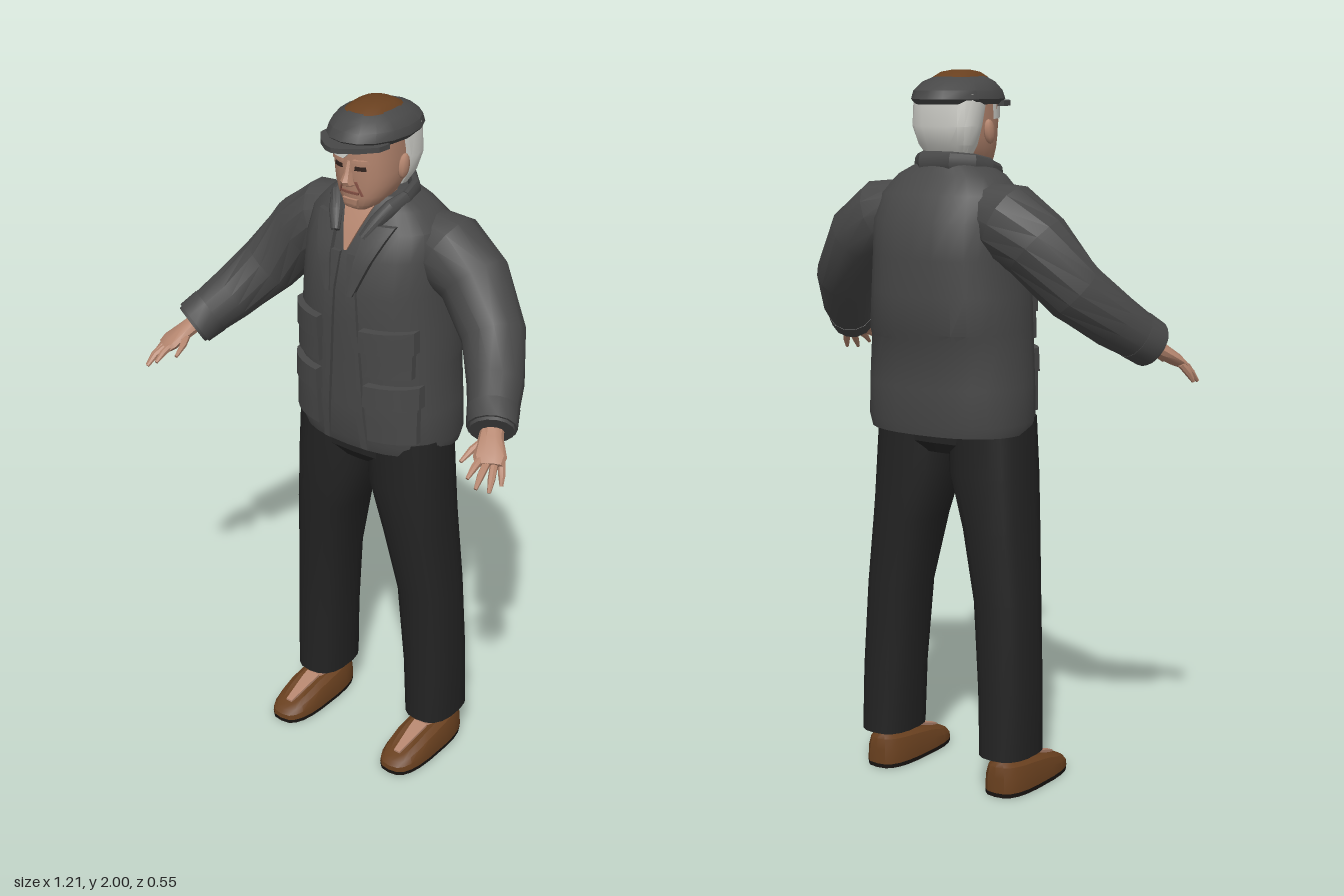
import * as THREE from 'three';
import { toCreasedNormals, mergeVertices } from 'three/addons/utils/BufferGeometryUtils.js';

const V = (x, y, z) => new THREE.Vector3(x, y, z);
const mat = (name, color) => {
  const m = new THREE.MeshStandardMaterial({ color });
  m.name = name;
  return m;
};

// Closed skin over rings of points; turned outward by its signed volume
function loft(rings, crease = 0.5) {
  const n = rings[0].length, pos = [], idx = [];
  rings.forEach(r => r.forEach(p => pos.push(p.x, p.y, p.z)));
  for (let i = 0; i < rings.length - 1; i++) for (let j = 0; j < n; j++) {
    const a = i * n + j, b = i * n + (j + 1) % n, c = b + n, d = a + n;
    idx.push(a, b, c, a, c, d);
  }
  [0, rings.length - 1].forEach(i => {
    const c = V(0, 0, 0);
    rings[i].forEach(p => c.addScaledVector(p, 1 / n));
    const k = pos.length / 3;
    pos.push(c.x, c.y, c.z);
    for (let j = 0; j < n; j++) {
      const a = i * n + j, b = i * n + (j + 1) % n;
      if (i === 0) idx.push(k, b, a); else idx.push(k, a, b);
    }
  });
  const at = i => V(pos[3 * i], pos[3 * i + 1], pos[3 * i + 2]);
  let volume = 0;
  for (let i = 0; i < idx.length; i += 3) volume += at(idx[i]).dot(at(idx[i + 1]).cross(at(idx[i + 2])));
  if (volume < 0) idx.reverse();
  const g = new THREE.BufferGeometry();
  g.setAttribute('position', new THREE.Float32BufferAttribute(pos, 3));
  g.setIndex(idx);
  return toCreasedNormals(g, crease);
}

// Horizontal superellipse ring
function ring(y, hw, zf, zb, cx = 0, n = 24, p = 2.4) {
  const pw = v => Math.sign(v) * Math.abs(v) ** (2 / p);
  return Array.from({ length: n }, (_, j) => {
    const t = j / n * Math.PI * 2;
    return V(cx + hw * pw(Math.sin(t)), y, (zf + zb) / 2 + (zf - zb) / 2 * pw(Math.cos(t)));
  });
}
const stack = (rows, n, p, s = 1) => loft(rows.map(([y, hw, zf, zb, cx = 0]) => ring(y, hw, zf, zb, cx * s, n, p)));

// Tapering limb through points [x, y, z, width radius, thickness radius]
function limb(pts, s = 1, n = 12) {
  const c = pts.map(p => V(p[0] * s, p[1], p[2]));
  return loft(pts.map((p, i) => {
    const dir = c[Math.min(i + 1, c.length - 1)].clone().sub(c[Math.max(i - 1, 0)]).normalize();
    const side = dir.clone().cross(V(0, 1, 0)).normalize(), up = side.clone().cross(dir);
    return Array.from({ length: n }, (_, j) => {
      const t = j / n * Math.PI * 2;
      return c[i].clone().addScaledVector(side, Math.cos(t) * p[3]).addScaledVector(up, Math.sin(t) * (p[4] ?? p[3]));
    });
  }));
}

// Depth of the front of a stack at (x, y)
function frontZ(rows, x, y, p = 2.4) {
  let i = 0;
  while (i < rows.length - 2 && rows[i + 1][0] < y) i++;
  const a = rows[i], b = rows[i + 1];
  const k = THREE.MathUtils.clamp((y - a[0]) / (b[0] - a[0]), 0, 1);
  const [hw, zf, zb] = [1, 2, 3].map(q => a[q] + (b[q] - a[q]) * k);
  return (zf + zb) / 2 + (zf - zb) / 2 * Math.max(0, 1 - Math.abs(x / hw) ** p) ** (1 / p);
}

// Plate that follows the front of a stack: bottom span, top span, heights, thickness
function plate(rows, bottom, top, y0, y1, thick, s = 1) {
  const g = new THREE.BoxGeometry(1, 1, 1, 6, 6, 1), a = g.attributes.position;
  const span = q => s > 0 ? q : [-q[1], -q[0]];
  const [b, t] = [span(bottom), span(top)];
  for (let i = 0; i < a.count; i++) {
    const u = a.getX(i) + 0.5, v = a.getY(i) + 0.5, y = y0 + (y1 - y0) * v;
    const lo = b[0] + (t[0] - b[0]) * v, hi = b[1] + (t[1] - b[1]) * v, x = lo + (hi - lo) * u;
    a.setXYZ(i, x, y, frontZ(rows, x, y) + (a.getZ(i) > 0 ? thick : -0.01));
  }
  g.deleteAttribute('uv');
  g.deleteAttribute('normal');
  return toCreasedNormals(mergeVertices(g), 0.5);
}

// Section rows: y, half width, front z, back z, centre x
const TORSO = [
  [1.02, 0.235, 0.075, -0.25], [1.05, 0.243, 0.085, -0.256], [1.15, 0.238, 0.092, -0.262],
  [1.28, 0.23, 0.095, -0.262], [1.3, 0.23, 0.096, -0.272], [1.4, 0.224, 0.1, -0.272],
  [1.5, 0.215, 0.102, -0.275], [1.6, 0.213, 0.085, -0.266], [1.67, 0.2, 0.052, -0.228],
  [1.72, 0.155, 0.022, -0.188], [1.75, 0.095, 0.0, -0.165]];
const HEAD = [
  [1.72, 0.035, 0.044, -0.05], [1.735, 0.055, 0.054, -0.075], [1.76, 0.072, 0.058, -0.1],
  [1.79, 0.083, 0.062, -0.125], [1.82, 0.088, 0.065, -0.142], [1.86, 0.09, 0.068, -0.15], [1.94, 0.092, 0.066, -0.15]];
const LEG = [
  [0.11, 0.075, 0.01, -0.19, 0.205], [0.3, 0.078, 0.012, -0.185, 0.2], [0.55, 0.083, 0.02, -0.178, 0.184],
  [0.75, 0.096, 0.045, -0.178, 0.155], [0.9, 0.118, 0.052, -0.175, 0.127], [1.06, 0.118, 0.05, -0.17, 0.118]];
const ARM = [
  [0.12, 1.625, -0.11, 0.085], [0.2, 1.6, -0.11, 0.108], [0.29, 1.54, -0.105, 0.1], [0.385, 1.42, -0.062, 0.088],
  [0.455, 1.335, 0.03, 0.076], [0.505, 1.275, 0.115, 0.064], [0.516, 1.262, 0.133, 0.06]];
const PALM = [[0.51, 1.268, 0.12, 0.03, 0.024], [0.527, 1.248, 0.153, 0.034, 0.022],
  [0.55, 1.222, 0.19, 0.044, 0.018], [0.56, 1.209, 0.207, 0.036, 0.013]];
const FINGERS = [
  [[0.515, 1.25, 0.15], [0.497, 1.228, 0.195], [0.49, 1.208, 0.235]],
  [[0.533, 1.222, 0.2], [0.535, 1.208, 0.24], [0.535, 1.19, 0.27]],
  [[0.55, 1.216, 0.2], [0.56, 1.196, 0.245], [0.565, 1.172, 0.275]],
  [[0.567, 1.21, 0.195], [0.582, 1.184, 0.228], [0.59, 1.158, 0.25]],
  [[0.578, 1.212, 0.178], [0.592, 1.186, 0.195], [0.6, 1.162, 0.208]]];

export function createModel() {
  const jacket = mat('charcoal jacket', 0x484848), cloth = mat('black trousers', 0x232323);
  const leather = mat('brown leather', 0x69401f), sole = mat('dark sole', 0x1a1512);
  const skin = mat('skin', 0xb5866f), hair = mat('white hair', 0xd6d6d0);
  const lip = mat('lip', 0x8a5548), eye = mat('dark eye', 0x33241f);
  const root = new THREE.Group();
  const add = (name, g, m) => {
    const mesh = new THREE.Mesh(g, m);
    mesh.name = name;
    root.add(mesh);
    return mesh;
  };

  // Jacket body, open neck, collar
  add('jacketBody', stack(TORSO, 28), jacket);
  add('openNeck', plate(TORSO, [-0.004, 0.004], [-0.05, 0.05], 1.615, 1.74, 0.006), skin);
  add('collarBack', limb([[-0.1, 1.735, -0.05, 0.016, 0.03], [-0.088, 1.748, -0.11, 0.016, 0.03],
    [-0.045, 1.754, -0.155, 0.016, 0.03], [0.045, 1.754, -0.155, 0.016, 0.03],
    [0.088, 1.748, -0.11, 0.016, 0.03], [0.1, 1.735, -0.05, 0.016, 0.03]]), jacket);

  // Trouser seat
  add('trouserSeat', stack([[0.955, 0.17, 0.03, -0.15], [0.985, 0.228, 0.05, -0.17], [1.06, 0.232, 0.05, -0.17]]), cloth);

  for (const s of [1, -1]) {
    const side = s > 0 ? 'left' : 'right';
    const put = (name, g, m) => add(side + name, g, m);

    // Jacket front: collar wing, lapel, opening edge, flapped pockets
    put('CollarWing', limb([[0.1, 1.735, -0.055, 0.016, 0.03], [0.088, 1.725, 0.0, 0.02, 0.026],
      [0.065, 1.695, 0.035, 0.02, 0.018], [0.045, 1.655, 0.066, 0.012, 0.012]], s), jacket);
    put('Lapel', plate(TORSO, [0.03, 0.045], [0.05, 0.125], 1.5, 1.69, 0.015, s), jacket);
    put('FrontEdge', plate(TORSO, [0.055, 0.075], [0.012, 0.045], 1.03, 1.61, 0.01, s), jacket);
    for (const [name, x0, x1, y0, y1] of [['Chest', 0.075, 0.195, 1.27, 1.41], ['Hip', 0.085, 0.208, 1.07, 1.245]]) {
      put(name + 'Pocket', plate(TORSO, [x0, x1], [x0, x1], y0, y1 - 0.02, 0.016, s), jacket);
      put(name + 'PocketFlap', plate(TORSO, [x0 - 0.006, x1 + 0.006], [x0 - 0.004, x1 + 0.004], y1 - 0.065, y1, 0.025, s), jacket);
    }

    // Sleeve, cuff and hand
    put('Sleeve', limb(ARM, s, 14), jacket);
    put('Cuff', limb([[0.487, 1.297, 0.085, 0.07], [0.512, 1.267, 0.127, 0.067]], s, 14), jacket);
    put('Palm', limb(PALM, s, 10), skin);
    FINGERS.forEach((f, i) => put(i ? 'Finger' + i : 'Thumb',
      limb(f.map((p, k) => [...p, [0.011, 0.01, 0.005][k]]), s, 7), skin));

    // Trouser leg, ankle and shoe
    put('TrouserLeg', stack(LEG, 18, 2.6, s), cloth);
    put('Ankle', stack([[0.05, 0.035, 0.0, -0.11, 0.205], [0.14, 0.038, -0.02, -0.12, 0.205]], 12, 2, s), skin);
    const topY = z => z > 0 ? 0.084 - z * 0.3 : 0.084 - z * 0.09;
    const shoeRing = (k, inset) => ring(0, 0.067 - inset, 0.152 - inset, -0.176 + inset * 0.4, 0.207 * s, 22, 2.9)
      .map(p => V(p.x, 0.012 + (topY(p.z) - 0.012) * k, p.z));
    put('Shoe', loft([shoeRing(0, 0), shoeRing(0.5, 0.002), shoeRing(0.85, 0.012), shoeRing(1, 0.03)]), leather);
    put('Sole', stack([[0, 0.066, 0.151, -0.175, 0.207], [0.012, 0.067, 0.152, -0.176, 0.207]], 22, 2.9, s), sole);
    const instep = new THREE.BoxGeometry(0.045, 0.008, 0.12, 1, 1, 4);
    const a = instep.attributes.position;
    for (let i = 0; i < a.count; i++) {
      const z = a.getZ(i) + 0.05;
      a.setXYZ(i, a.getX(i) * (1 - Math.max(0, z) * 5) + 0.207 * s, a.getY(i) + topY(z) + 0.001, z);
    }
    instep.computeVertexNormals();
    put('Instep', instep, skin);

    // Eye, brow, cheek and ear
    put('Eye', plate(HEAD, [0.02, 0.05], [0.022, 0.048], 1.838, 1.849, 0.003, s), eye);
    put('Brow', plate(HEAD, [0.015, 0.058], [0.018, 0.054], 1.858, 1.868, 0.008, s), skin);
    put('CheekFold', plate(HEAD, [0.034, 0.038], [0.018, 0.024], 1.765, 1.805, 0.004, s), lip);
    const ear = put('Ear', new THREE.SphereGeometry(1, 8, 8), skin);
    ear.scale.set(0.012, 0.034, 0.021);
    ear.position.set(0.097 * s, 1.835, -0.045);
    ear.rotation.x = -0.2;
  }

  // Neck, head, nose and mouth
  add('neck', stack([[1.62, 0.07, 0.03, -0.12], [1.7, 0.06, 0.025, -0.115], [1.8, 0.062, 0.02, -0.115]], 16, 2), skin);
  add('head', stack(HEAD, 22), skin);
  add('nose', loft([[1.79, 0.01, 0.07], [1.798, 0.02, 0.088], [1.808, 0.017, 0.094], [1.83, 0.01, 0.081], [1.862, 0.009, 0.07]]
    .map(([y, w, z]) => ring(y, w, z, 0.045, 0, 8, 2))), skin);
  add('mouth', plate(HEAD, [-0.026, 0.026], [-0.028, 0.028], 1.768, 1.775, 0.004), lip);
  add('chin', plate(HEAD, [-0.02, 0.02], [-0.024, 0.024], 1.728, 1.754, 0.008), skin);

  // Hair at back and sides, with a swept fringe
  add('hair', stack([[1.765, 0.066, -0.07, -0.122], [1.8, 0.086, -0.055, -0.15], [1.85, 0.1, -0.045, -0.167],
    [1.935, 0.1, -0.015, -0.165]], 20, 2.8), hair);
  add('fringe', plate(HEAD, [-0.088, -0.01], [-0.09, 0.04], 1.868, 1.915, 0.008), hair);

  // Flat cap: crown, top patch, pointed peak
  add('capCrown', stack([[1.908, 0.1, 0.085, -0.19], [1.922, 0.112, 0.1, -0.204], [1.945, 0.107, 0.088, -0.195],
    [1.968, 0.088, 0.064, -0.165], [1.982, 0.061, 0.04, -0.126]], 16, 2.1), jacket);
  add('capPatch', stack([[1.98, 0.062, 0.041, -0.127], [1.994, 0.045, 0.015, -0.1], [2, 0.02, -0.015, -0.065]], 16, 2.6), leather);
  const outline = [[-0.1, 0.02], [-0.096, 0.06], [-0.065, 0.1], [-0.025, 0.132], [0, 0.14], [0.025, 0.132], [0.065, 0.1], [0.096, 0.06], [0.1, 0.02]];
  const peak = lift => outline.map(([x, z]) => V(x, 1.908 + lift - Math.max(0, z - 0.06) * 0.05 - x * x * 0.6, z));
  add('capPeak', loft([peak(0), peak(0.014)]), jacket);
  return root;
}
